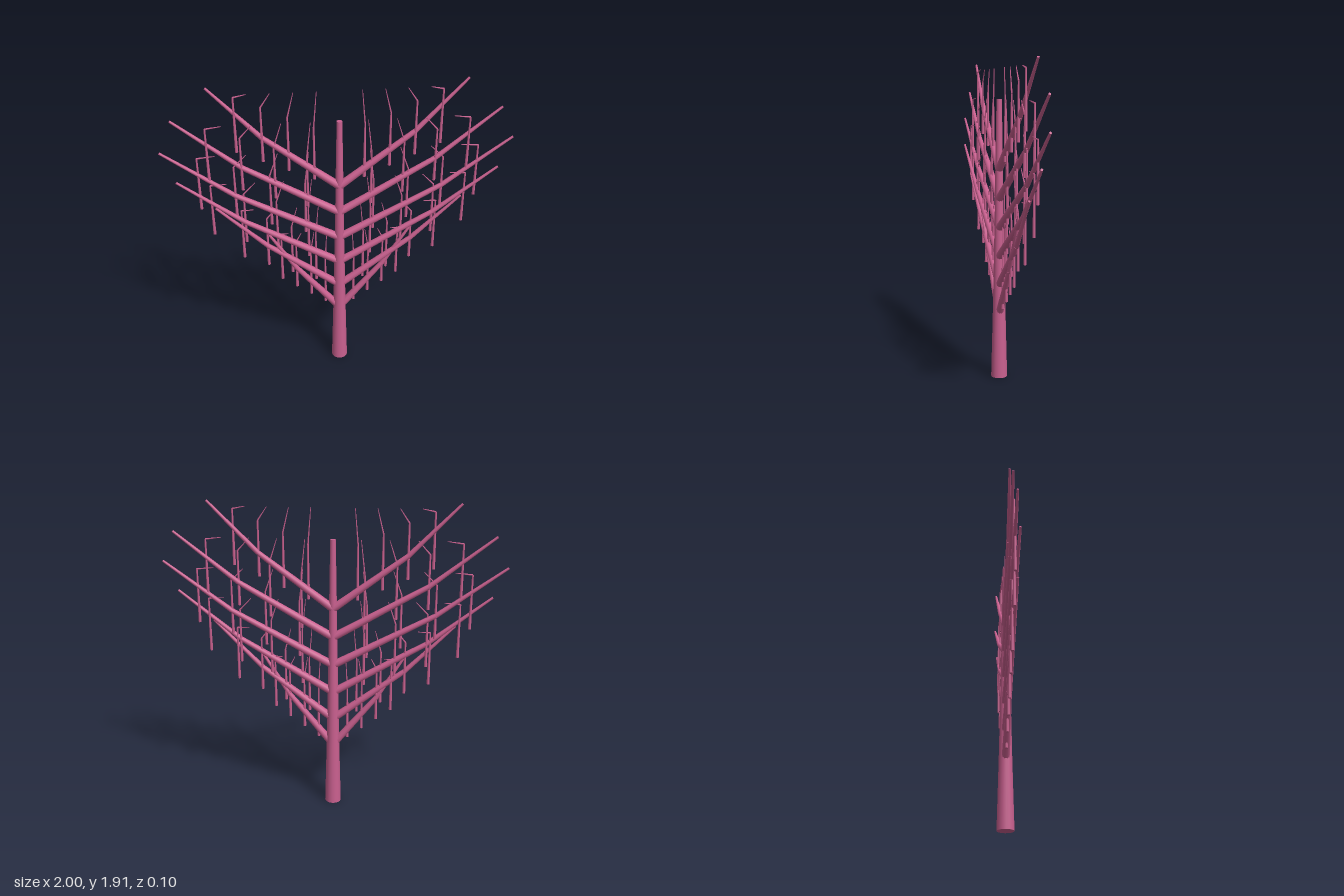
import * as THREE from 'three';

const pink = new THREE.MeshStandardMaterial({ color: 0xc9608f });
pink.name = 'pink bark';

// Tapered round limb between two points
function limb(name, a, b, rA, rB, sides) {
  const dir = new THREE.Vector3().subVectors(b, a);
  const mesh = new THREE.Mesh(new THREE.CylinderGeometry(rB, rA, dir.length(), sides), pink);
  mesh.position.addVectors(a, b).multiplyScalar(0.5);
  mesh.quaternion.setFromUnitVectors(new THREE.Vector3(0, 1, 0), dir.normalize());
  mesh.name = name;
  return mesh;
}

export function createModel() {
  const tree = new THREE.Group();
  tree.name = 'espalierTree';
  const v = (x, y, z = 0) => new THREE.Vector3(x, y, z);

  // Trunk in tapering stages
  const profile = [[0.05, 0], [0.039, 0.42], [0.027, 1.0], [0.023, 1.3], [0.016, 1.69]];
  for (let i = 0; i < profile.length - 1; i++) {
    const [r0, y0] = profile[i], [r1, y1] = profile[i + 1];
    tree.add(limb('trunk', v(0, y0), v(0, y1), r0, r1, 16));
  }

  // Six tiers of paired branches: half-width and depth of each tip
  const reach = [0.4375, 0.715, 0.92, 0.995, 0.92, 0.715];
  const depth = [0.01, 0.02, 0.018, 0, -0.018, -0.022];
  reach.forEach((w, i) => {
    const y = 0.385 + 0.177 * i;
    const tipY = 1.005 + 0.18 * i;
    for (const s of [1, -1]) {
      const tier = new THREE.Group();
      tier.name = s > 0 ? 'leftBranch' : 'rightBranch';

      // Main branch bends upward past its middle
      const root = v(0, y + 0.01), bend = v(s * w * 0.6, y + 0.335, depth[i] * 0.4);
      tier.add(limb('innerBranch', root, bend, 0.024, 0.015, 10));
      tier.add(limb('outerBranch', bend, v(s * w, tipY, depth[i]), 0.015, 0.007, 10));

      // Upright shoots, each ending in a fine twig
      for (let k = 1; k <= 4; k++) {
        const x = s * w * 0.2 * k, foot = y + 0.065 * k;
        const top = v(x, foot + 0.325);
        tier.add(limb('shoot', v(x, foot), top, 0.009, 0.005, 8));
        tier.add(limb('twig', top, v(x * 0.875, tipY - 0.035), 0.005, 0.002, 6));
      }
      tree.add(tier);
    }
  });
  return tree;
}
